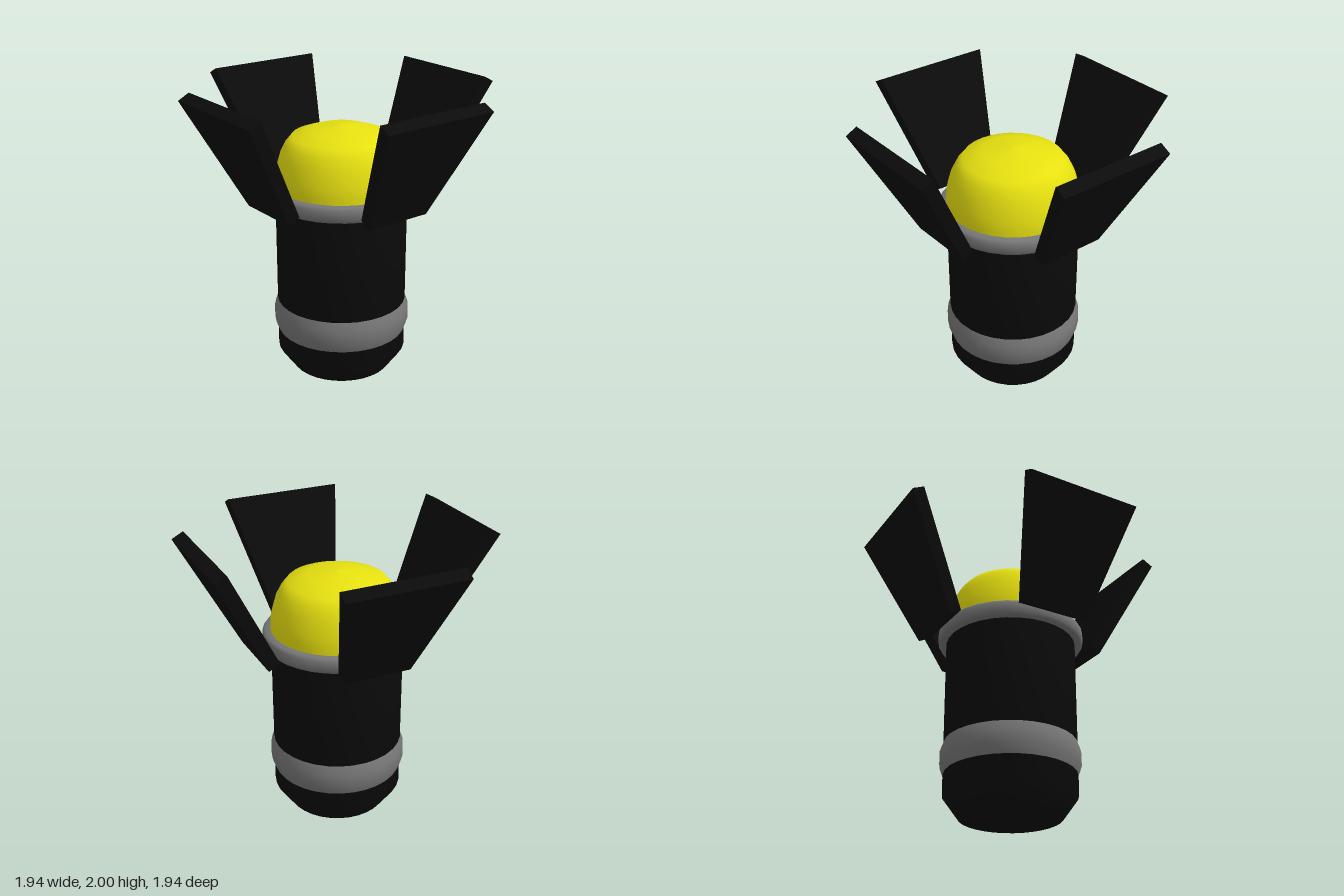
import * as THREE from 'three';
import { toCreasedNormals } from 'three/addons/utils/BufferGeometryUtils.js';

const black = new THREE.MeshStandardMaterial({ color: 0x0b0b0b });
const grey = new THREE.MeshStandardMaterial({ color: 0x777777 });
const yellow = new THREE.MeshStandardMaterial({ color: 0xe6e010 });

// Turned part from [radius, height] pairs, listed bottom to top
function turned(name, profile, material, crease) {
  const points = profile.map(([r, y]) => new THREE.Vector2(r, y));
  const geometry = new THREE.LatheGeometry(points, 32);
  const mesh = new THREE.Mesh(crease ? toCreasedNormals(geometry, crease) : geometry, material);
  mesh.name = name;
  return mesh;
}

// Tapered plate, wider at its far end, leaning outwards
function flap(name, angle) {
  const length = 0.825, thickness = 0.089;
  const shape = new THREE.Shape([
    new THREE.Vector2(-0.235, 0), new THREE.Vector2(0.235, 0),
    new THREE.Vector2(0.41, length), new THREE.Vector2(-0.41, length),
  ]);
  const geometry = new THREE.ExtrudeGeometry(shape, { depth: thickness, bevelEnabled: false });
  geometry.translate(0, 0, -thickness / 2);
  const plate = new THREE.Mesh(geometry, black);
  plate.position.set(0, 1.25, 0.55);
  plate.rotation.x = 0.479;
  const pivot = new THREE.Group();
  pivot.name = name;
  pivot.rotation.y = angle;
  pivot.add(plate);
  return pivot;
}

export function createModel() {
  const model = new THREE.Group();
  model.name = 'spotlight';

  // Housing with a tapered foot
  model.add(turned('housing', [[0, 0], [0.345, 0], [0.445, 0.14], [0.445, 1.3], [0, 1.3]], black, 0.7));

  // Raised band round the lower housing
  model.add(turned('band', [[0.443, 0.28], [0.445, 0.28], [0.468, 0.345], [0.468, 0.435], [0.445, 0.5], [0.443, 0.5]], grey, 0.7));

  // Rounded collar at the rim
  model.add(turned('collar', [[0.43, 1.225], [0.485, 1.225], [0.5, 1.245], [0.5, 1.31], [0.485, 1.33], [0.42, 1.33]], grey, 1));

  // Domed lens, flattened towards its top
  model.add(turned('lens', [[0.445, 1.3], [0.445, 1.365], [0.438, 1.44], [0.41, 1.54], [0.375, 1.61],
    [0.33, 1.665], [0.2, 1.71], [0, 1.735]], yellow));

  // Four flaps round the lens
  ['frontFlap', 'leftFlap', 'backFlap', 'rightFlap'].forEach((name, i) => model.add(flap(name, i * Math.PI / 2)));

  return model;
}
